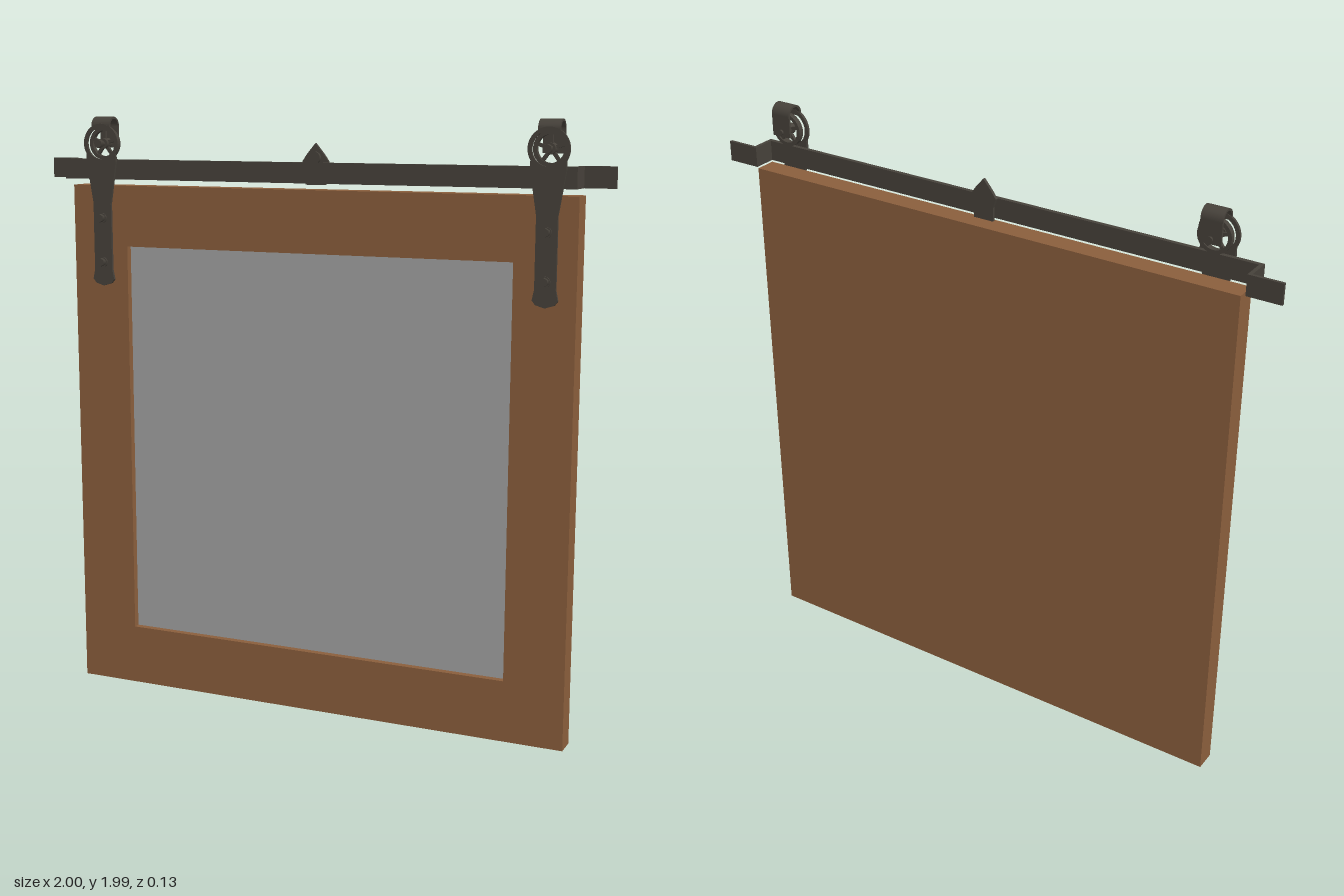
import * as THREE from 'three';

export function createModel() {
  const model = new THREE.Group();
  model.name = 'slidingBarnDoor';
  const material = (name, color) => {
    const m = new THREE.MeshStandardMaterial({ color });
    m.name = name;
    return m;
  };
  const wood = material('brown wood', 0x8a5e3c);
  const metal = material('dark metal', 0x46413a);
  const glass = material('grey panel', 0xa2a2a2);

  const add = (parent, name, geometry, mat) => {
    const mesh = new THREE.Mesh(geometry, mat);
    mesh.name = name;
    parent.add(mesh);
    return mesh;
  };
  // Box given by its minimum and maximum corners
  const box = (parent, name, mat, [x0, y0, z0], [x1, y1, z1]) =>
    add(parent, name, new THREE.BoxGeometry(x1 - x0, y1 - y0, z1 - z0), mat)
      .position.set((x0 + x1) / 2, (y0 + y1) / 2, (z0 + z1) / 2);
  // Flat plate cut from a shape, starting at depth z
  const plate = (parent, name, shape, z, depth) => {
    const g = new THREE.ExtrudeGeometry(shape, { depth, bevelEnabled: false, curveSegments: 16 });
    add(parent, name, g, metal).position.z = z;
  };
  // Cylinder whose axis runs along z
  const pin = (parent, name, r, z0, z1, y, sides = 16) => {
    const g = new THREE.CylinderGeometry(r, r, z1 - z0, sides).rotateX(Math.PI / 2);
    add(parent, name, g, metal).position.set(0, y, (z0 + z1) / 2);
  };

  // Door: four frame boards around a recessed panel
  const back = -0.035, front = 0.037;
  const door = new THREE.Group();
  door.name = 'door';
  model.add(door);
  box(door, 'leftBoard', wood, [-0.86, 0.205, back], [-0.655, 1.76, front]);
  box(door, 'rightBoard', wood, [0.71, 0, back], [0.912, 1.555, front]);
  box(door, 'topBoard', wood, [-0.655, 1.555, back], [0.912, 1.76, front]);
  box(door, 'bottomBoard', wood, [-0.86, 0, back], [0.71, 0.205, front]);
  box(door, 'backBoard', wood, [-0.655, 0.205, back], [0.71, 1.555, 0.005]);
  box(door, 'mirrorPanel', glass, [-0.655, 0.205, 0.005], [0.71, 1.555, 0.014]);

  // Rail with a stepped wall bracket at each end
  box(model, 'rail', metal, [-0.9, 1.78, 0.01], [0.9, 1.847, 0.024]);
  for (const s of [-1, 1]) {
    const a = Math.min(s * 0.888, s * 0.9), b = Math.max(s * 0.888, s * 0.9);
    box(model, 'bracketArm', metal, [a, 1.78, -0.066], [b, 1.847, 0.012]);
    const c = Math.min(s * 0.89, s), d = Math.max(s * 0.89, s);
    box(model, 'wallTab', metal, [c, 1.78, -0.066], [d, 1.847, -0.056]);
  }

  // Pointed stop behind the middle of the rail
  const stop = new THREE.Group();
  stop.name = 'railStop';
  stop.position.x = 0.03;
  model.add(stop);
  plate(stop, 'stopPlate', new THREE.Shape([
    [-0.035, 1.775], [0.035, 1.775], [0.035, 1.82], [0.046, 1.85], [0.028, 1.875],
    [0, 1.908], [-0.028, 1.875], [-0.046, 1.85], [-0.035, 1.82],
  ].map(p => new THREE.Vector2(...p))), -0.008, 0.01);
  pin(stop, 'stopSpacer', 0.02, 0, 0.012, 1.862);

  // Roller hangers
  const hubY = 1.9, wheelZ = 0.017;
  for (const x of [-0.745, 0.815]) {
    const hanger = new THREE.Group();
    hanger.name = 'hanger';
    hanger.position.x = x;
    model.add(hanger);

    // Front strap with a round eye and a flared foot
    const strap = new THREE.Shape();
    strap.moveTo(0, 1.419);
    strap.lineTo(0.03, 1.428);
    strap.lineTo(0.041, 1.442);
    strap.lineTo(0.034, 1.475);
    strap.lineTo(0.034, 1.7);
    strap.lineTo(0.057, 1.84);
    strap.lineTo(0.056, 1.865);
    strap.absarc(0, hubY, 0.066, -0.55, Math.PI + 0.55, false);
    strap.lineTo(-0.057, 1.84);
    strap.lineTo(-0.034, 1.7);
    strap.lineTo(-0.034, 1.475);
    strap.lineTo(-0.041, 1.442);
    strap.lineTo(-0.03, 1.428);
    const eye = new THREE.Path();
    eye.absarc(0, hubY, 0.053, 0, Math.PI * 2, true);
    strap.holes.push(eye);
    plate(hanger, 'strap', strap, front, 0.009);

    // Strap bent over the top of the wheel, drawn in side profile
    const bend = new THREE.Shape();
    bend.moveTo(0.046, 1.945);
    bend.lineTo(0.046, 1.957);
    bend.absarc(0.014, 1.957, 0.032, 0, Math.PI, false);
    bend.lineTo(-0.018, 1.885);
    bend.lineTo(-0.011, 1.885);
    bend.lineTo(-0.011, 1.957);
    bend.absarc(0.014, 1.957, 0.025, Math.PI, 0, true);
    bend.lineTo(0.039, 1.945);
    const bendGeometry = new THREE.ExtrudeGeometry(bend, { depth: 0.07, bevelEnabled: false, curveSegments: 16 });
    bendGeometry.rotateY(-Math.PI / 2).translate(0.035, 0, 0);
    add(hanger, 'bentStrap', bendGeometry, metal);

    // Spoked wheel running on the rail
    const rim = new THREE.Shape();
    rim.absarc(0, hubY, 0.055, 0, Math.PI * 2, false);
    const rimHole = new THREE.Path();
    rimHole.absarc(0, hubY, 0.043, 0, Math.PI * 2, true);
    rim.holes.push(rimHole);
    plate(hanger, 'wheelRim', rim, wheelZ - 0.009, 0.018);
    for (let i = 0; i < 5; i++) {
      const a = Math.PI / 2 + i * Math.PI * 2 / 5;
      const spoke = add(hanger, 'wheelSpoke', new THREE.BoxGeometry(0.05, 0.011, 0.01), metal);
      spoke.position.set(Math.cos(a) * 0.024, hubY + Math.sin(a) * 0.024, wheelZ);
      spoke.rotation.z = a;
    }
    pin(hanger, 'wheelHub', 0.018, 0, 0.034, hubY);
    pin(hanger, 'axle', 0.009, -0.024, 0.06, hubY);
    pin(hanger, 'axleHead', 0.015, 0.048, 0.066, hubY, 6);

    // Strap bolts
    for (const y of [1.65, 1.5]) {
      pin(hanger, 'boltWasher', 0.017, 0.045, 0.051, y);
      pin(hanger, 'boltHead', 0.014, 0.051, 0.066, y, 6);
    }
  }
  return model;
}
